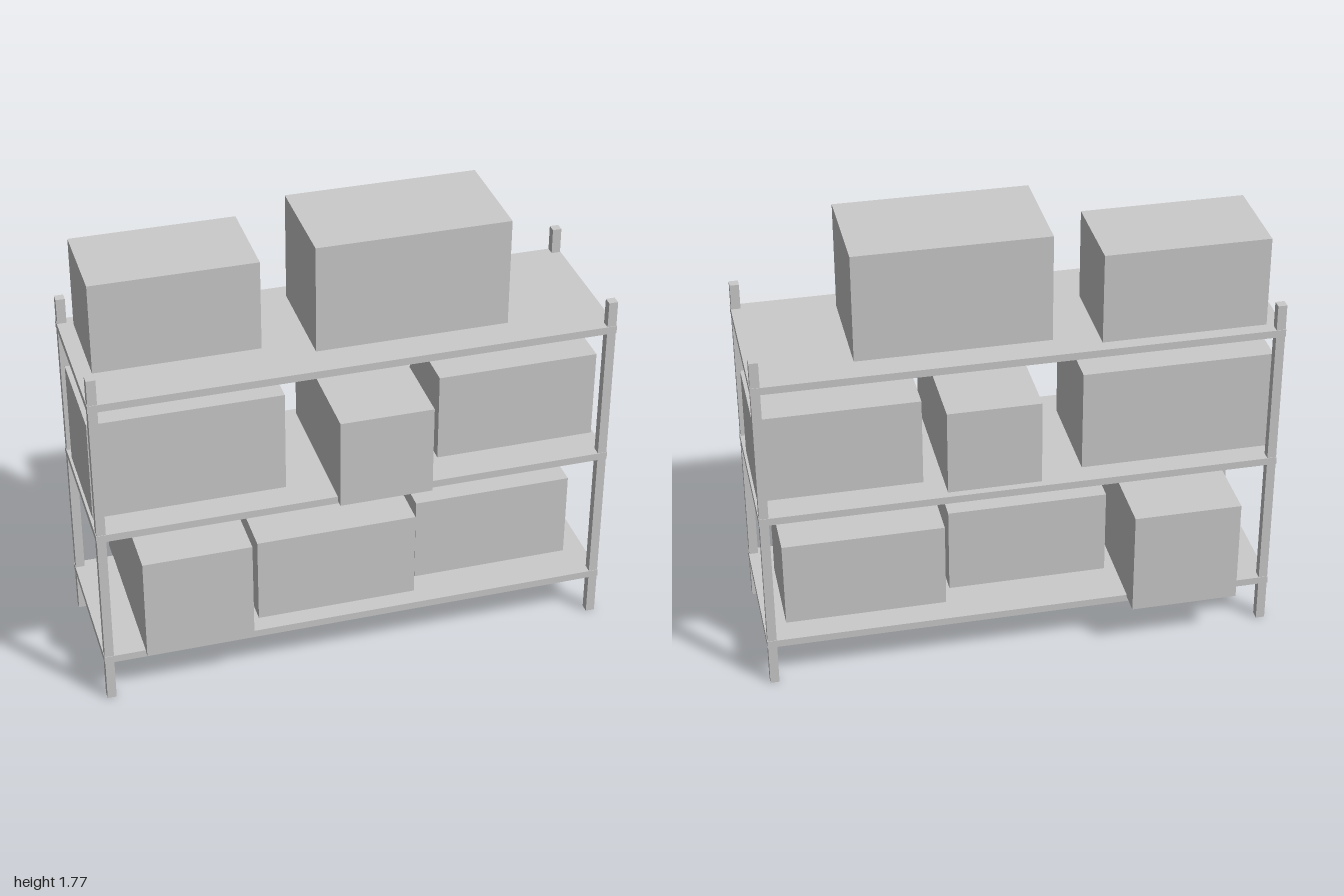
import * as THREE from 'three';

const material = new THREE.MeshStandardMaterial({ color: 0xcccccc, flatShading: true });

// Box given by its lowest corner and its size
function block(name, [x, y, z], [w, h, d]) {
  const mesh = new THREE.Mesh(new THREE.BoxGeometry(w, h, d), material);
  mesh.name = name;
  mesh.position.set(x + w / 2, y + h / 2, z + d / 2);
  return mesh;
}

export function createModel() {
  const model = new THREE.Group();
  model.name = 'storageRack';

  const back = -0.286, front = 0.341, post = 0.035, inset = 0.002;

  // Four corner posts
  for (const x of [-1 + inset, 1 - post - inset]) {
    for (const [end, z] of [['back', back + inset], ['front', front - post - inset]]) {
      const side = x > 0 ? 'Left' : 'Right';
      model.add(block(`${end}${side}Post`, [x, 0, z], [post, 1.435, post]));
    }
  }

  // Three shelves
  [['lowerShelf', 0.171], ['middleShelf', 0.737], ['upperShelf', 1.303]].forEach(([name, y]) =>
    model.add(block(name, [-1, y, back], [2, 0.03, front - back])));

  // Cartons in two sizes, some turned end-on to the front
  const large = [0.74, 0.428, 0.42], small = [0.63, 0.365, 0.362];
  const turned = ([w, h, d]) => [d, h, w];
  const cartons = new THREE.Group();
  cartons.name = 'cartons';
  cartons.add(
    // lower shelf
    block('lowerLargeCarton', [-0.84, 0.193, -0.373], turned(large)),
    block('lowerMiddleCarton', [-0.377, 0.192, -0.094], small),
    block('lowerLeftCarton', [0.283, 0.19, -0.181], small),
    // middle shelf
    block('middleLargeCarton', [-0.99, 0.75, -0.195], large),
    block('middleTurnedCarton', [-0.08, 0.748, -0.256], turned(small)),
    block('middleLeftCarton', [0.36, 0.761, -0.167], small),
    // upper shelf
    block('upperSmallCarton', [-0.94, 1.328, -0.233], small),
    block('upperLargeCarton', [-0.13, 1.345, -0.195], large),
  );
  model.add(cartons);
  return model;
}
